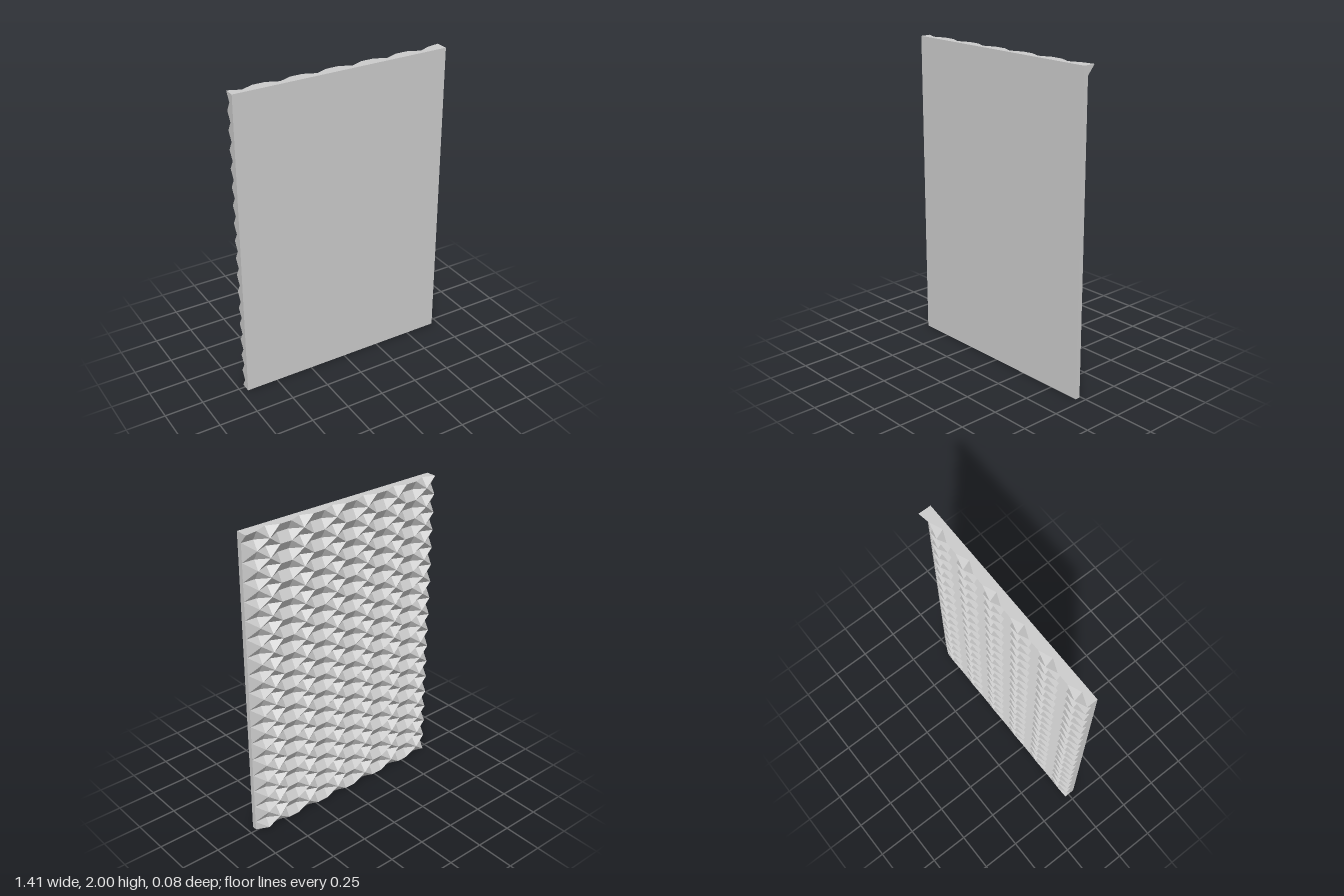
import * as THREE from 'three';

const W = 1.414, H = 2, FRONT = 0.041;   // panel size and front plane
const COLS = 18, ROWS = 34;              // relief grid
const PEAK = -0.041, RIDGE = -0.028, VALLEY = 0.005, RIM = 0.009;

// Relief depth: every third column peaks on odd rows, the others ridge on even rows
function depth(i, j) {
  if (i === COLS) return j === ROWS ? PEAK : RIM;
  const odd = j % 2 === 1;
  if (i % 3 === 1) return odd ? PEAK : VALLEY;
  return odd ? VALLEY : RIDGE;
}

const at = (i, j, z) => [-W / 2 + (W * i) / COLS, (H * j) / ROWS, z];
const back = (i, j) => at(i, j, depth(i, j));
const front = (i, j) => at(i, j, FRONT);

// Two triangles, split along a-c
const quad = (out, a, b, c, d) => out.push(...a, ...b, ...c, ...a, ...c, ...d);

function makeMesh(name, positions) {
  const geometry = new THREE.BufferGeometry();
  geometry.setAttribute('position', new THREE.Float32BufferAttribute(positions, 3));
  geometry.computeVertexNormals();
  const material = new THREE.MeshStandardMaterial({ color: 0xcccccc, flatShading: true });
  const mesh = new THREE.Mesh(geometry, material);
  mesh.name = name;
  return mesh;
}

export function createModel() {
  const group = new THREE.Group();
  group.name = 'reliefPanel';

  // Faceted back; each cell is folded along its more protruding diagonal
  const relief = [];
  for (let i = 0; i < COLS; i++) {
    for (let j = 0; j < ROWS; j++) {
      const a = back(i, j), b = back(i + 1, j), c = back(i + 1, j + 1), d = back(i, j + 1);
      if (a[2] + c[2] < b[2] + d[2]) quad(relief, a, d, c, b);
      else quad(relief, d, c, b, a);
    }
  }
  group.add(makeMesh('facetedBack', relief));

  // Flat front
  const face = [];
  quad(face, front(0, 0), front(COLS, 0), front(COLS, ROWS), front(0, ROWS));
  group.add(makeMesh('flatFront', face));

  // Edges joining the front to the relief outline
  const rim = [];
  for (let i = 0; i < COLS; i++) {
    quad(rim, back(i, 0), back(i + 1, 0), front(i + 1, 0), front(i, 0));
    quad(rim, front(i, ROWS), front(i + 1, ROWS), back(i + 1, ROWS), back(i, ROWS));
  }
  for (let j = 0; j < ROWS; j++) {
    quad(rim, back(0, j), front(0, j), front(0, j + 1), back(0, j + 1));
    quad(rim, back(COLS, j + 1), front(COLS, j + 1), front(COLS, j), back(COLS, j));
  }
  group.add(makeMesh('panelEdges', rim));

  return group;
}
